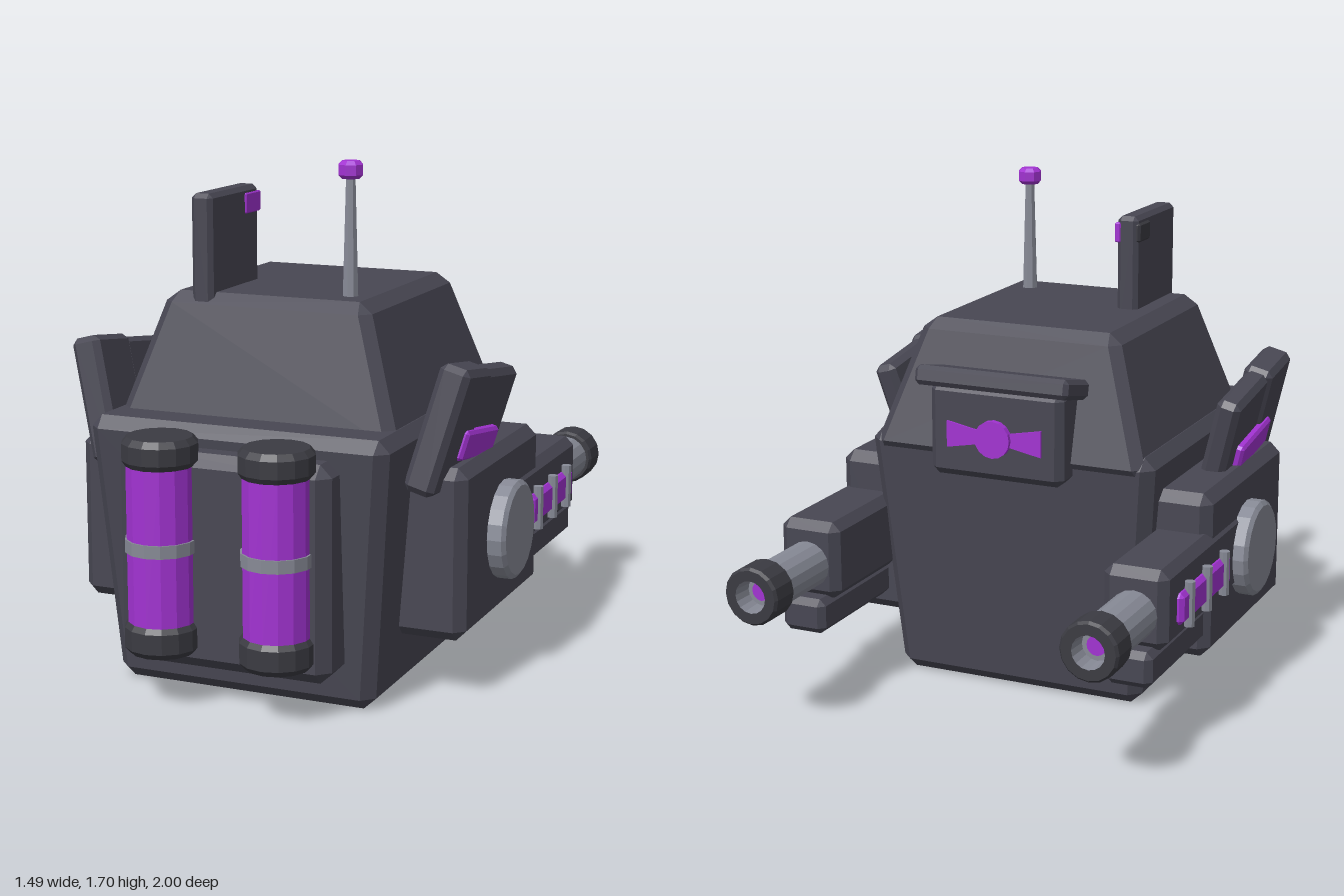
import * as THREE from 'three';
import { ConvexGeometry } from 'three/addons/geometries/ConvexGeometry.js';

const material = (name, color) => {
  const m = new THREE.MeshStandardMaterial({ color });
  m.name = name;
  m.flatShading = true;
  return m;
};

export function createModel() {
  const model = new THREE.Group();
  model.name = 'armouredBackpack';
  const armour = material('dark armour', 0x484753);
  const cap = material('charcoal caps', 0x3b3b42);
  const metal = material('grey metal', 0x878a96);
  const glow = material('purple glow', 0xa233d2);

  const add = (name, geometry, mat, parent = model) => {
    const mesh = new THREE.Mesh(geometry, mat);
    mesh.name = name;
    parent.add(mesh);
    return mesh;
  };

  // Chamfered block; low and high are [x0, x1, z0, z1] at heights y0 and y1
  const block = (low, high, y0, y1, b) => {
    const points = [];
    for (const top of [0, 1]) for (const i of [0, 1]) for (const k of [0, 1]) {
      for (let face = 0; face < 3; face++) {
        const y = (top ? y1 : y0) + (face === 1 ? 0 : b * (top ? -1 : 1));
        const t = (y - y0) / (y1 - y0);
        const x = low[i] + (high[i] - low[i]) * t;
        const z = low[2 + k] + (high[2 + k] - low[2 + k]) * t;
        points.push(new THREE.Vector3(
          x + (face === 0 ? 0 : b * (i ? -1 : 1)), y,
          z + (face === 2 ? 0 : b * (k ? -1 : 1))));
      }
    }
    return new ConvexGeometry(points);
  };
  const box = (x0, x1, y0, y1, z0, z1, b) => block([x0, x1, z0, z1], [x0, x1, z0, z1], y0, y1, b);
  const lathe = (profile, sides) =>
    new THREE.LatheGeometry(profile.map(([r, y]) => new THREE.Vector2(r, y)), sides);

  // Hull and raised upper housing
  add('hull', block([-0.45, 0.45, -0.25, 0.72], [0.52, 0.52, -0.33, 0.78].map((v, i) => i ? v : -v), 0, 0.89, 0.04), armour);
  add('upperHousing', block([-0.5, 0.5, -0.35, 0.64], [-0.35, 0.35, -0.23, 0.53], 0.82, 1.27, 0.035), armour);
  add('canisterBackplate', box(-0.365, 0.365, 0.12, 0.82, 0.65, 0.87, 0.04), armour);

  // Pair of glowing canisters
  for (const s of [1, -1]) {
    const canister = new THREE.Group();
    canister.name = s > 0 ? 'leftCanister' : 'rightCanister';
    canister.position.set(0.2 * s, 0, 0.875);
    model.add(canister);
    add('canisterGlass', new THREE.CylinderGeometry(0.11, 0.11, 0.52, 14).translate(0, 0.53, 0), glow, canister);
    add('canisterBand', new THREE.CylinderGeometry(0.116, 0.116, 0.042, 14).translate(0, 0.526, 0), metal, canister);
    add('bottomCap', lathe([[0, 0.175], [0.105, 0.175], [0.122, 0.195], [0.122, 0.26], [0.11, 0.277], [0, 0.277]], 14), cap, canister);
    add('topCap', lathe([[0, 0.782], [0.11, 0.782], [0.122, 0.8], [0.122, 0.855], [0.105, 0.875], [0, 0.875]], 14), cap, canister);
  }

  // Side pods, cannons and angled flaps
  for (const s of [1, -1]) {
    const side = new THREE.Group();
    side.name = s > 0 ? 'leftSide' : 'rightSide';
    model.add(side);
    const span = (a, b) => (s > 0 ? [a, b] : [-b, -a]);
    add('sidePod', box(...span(0.42, 0.685), 0.2, 0.765, -0.23, 0.53, 0.035), armour, side);
    add('pivotDisc', lathe([[0, 0], [0.165, 0], [0.165, 0.05], [0.15, 0.062], [0, 0.062]], 20)
      .rotateZ(-s * Math.PI / 2).translate(0.683 * s, 0.487, 0.145), metal, side);
    add('cannonHousing', box(...span(0.475, 0.695), 0.37, 0.635, -0.64, 0.1, 0.03), armour, side);
    add('cannonUnderside', box(...span(0.505, 0.665), 0.26, 0.38, -0.69, 0, 0.022), armour, side);

    // Glowing vent with three guard bars
    add('ventGlow', box(...span(0.67, 0.716), 0.432, 0.537, -0.545, -0.09, 0.014), glow, side);
    for (const z of [-0.15, -0.315, -0.475]) {
      add('ventBar', new THREE.CylinderGeometry(0.018, 0.018, 0.15, 8).translate(0.712 * s, 0.487, z), metal, side);
    }

    // Barrel pointing backwards, with a hollow muzzle
    const cannon = new THREE.Group();
    cannon.name = 'cannonBarrel';
    cannon.position.set(0.586 * s, 0.487, 0);
    cannon.rotation.x = -Math.PI / 2;
    side.add(cannon);
    add('barrel', new THREE.CylinderGeometry(0.08, 0.08, 0.32, 16).translate(0, 0.76, 0), metal, cannon);
    add('muzzle', lathe([[0, 0.885], [0.09, 0.885], [0.098, 0.895], [0.098, 0.99], [0.09, 1], [0.055, 1]], 16), cap, cannon);
    add('muzzleBore', lathe([[0.055, 1], [0.05, 0.93], [0.03, 0.93]], 16), metal, cannon);
    add('muzzleGlow', new THREE.CylinderGeometry(0.032, 0.032, 0.008, 16).translate(0, 0.932, 0), glow, cannon);

    // Flap leaning outwards and back
    const flap = new THREE.Group();
    flap.name = 'angledFlap';
    flap.position.set(0.602 * s, 0.86, 0.315);
    flap.rotation.set(-0.14, 0, -0.26 * s);
    side.add(flap);
    add('flapRear', box(-0.042, 0.042, -0.17, 0.2, -0.27, 0.05, 0.02), armour, flap);
    add('flapFront', box(-0.052, 0.052, -0.21, 0.21, 0.03, 0.265, 0.02), armour, flap);
    add('flapGlow', box(...span(0.03, 0.068), -0.09, 0.01, -0.17, 0.13, 0.01), glow, flap);
  }

  // Upright fin with its small sensor
  add('fin', box(-0.26, -0.185, 1.2, 1.59, 0.172, 0.53, 0.015), armour);
  add('finSensorHousing', box(-0.267, -0.2, 1.5, 1.568, 0.18, 0.28, 0.008), cap);
  add('finSensor', box(-0.2, -0.179, 1.5, 1.568, 0.168, 0.28, 0.004), glow);

  // Antenna
  add('antennaRod', new THREE.CylinderGeometry(0.016, 0.027, 0.4, 8).translate(0.24, 1.46, 0.39), metal);
  add('antennaTip', lathe([[0, 1.645], [0.03, 1.645], [0.042, 1.657], [0.042, 1.69], [0.03, 1.702], [0, 1.702]], 8)
    .translate(0.24, 0, 0.39), glow);

  // Rear sensor box under a tilted brim
  add('rearBox', box(-0.24, 0.24, 0.785, 1.1, -0.415, -0.15, 0.025), armour);
  const brim = add('rearBrim', box(-0.275, 0.275, -0.033, 0.033, -0.12, 0.12, 0.015), armour);
  brim.position.set(0, 1.105, -0.335);
  brim.rotation.x = 0.22;
  add('rearLens', new THREE.CylinderGeometry(0.063, 0.063, 0.03, 16).rotateX(Math.PI / 2).translate(0, 0.932, -0.422), glow);
  for (const s of [1, -1]) {
    const wing = new THREE.Shape([[0.04, -0.02], [0.17, -0.045], [0.17, 0.045], [0.04, 0.02]]
      .map(([x, y]) => new THREE.Vector2(x, y)));
    const geometry = new THREE.ExtrudeGeometry(wing, { depth: 0.009, bevelEnabled: false });
    if (s < 0) geometry.translate(0, 0, -0.009).rotateY(Math.PI);
    add('rearLensWing', geometry.translate(0, 0.932, -0.423), glow);
  }
  return model;
}
